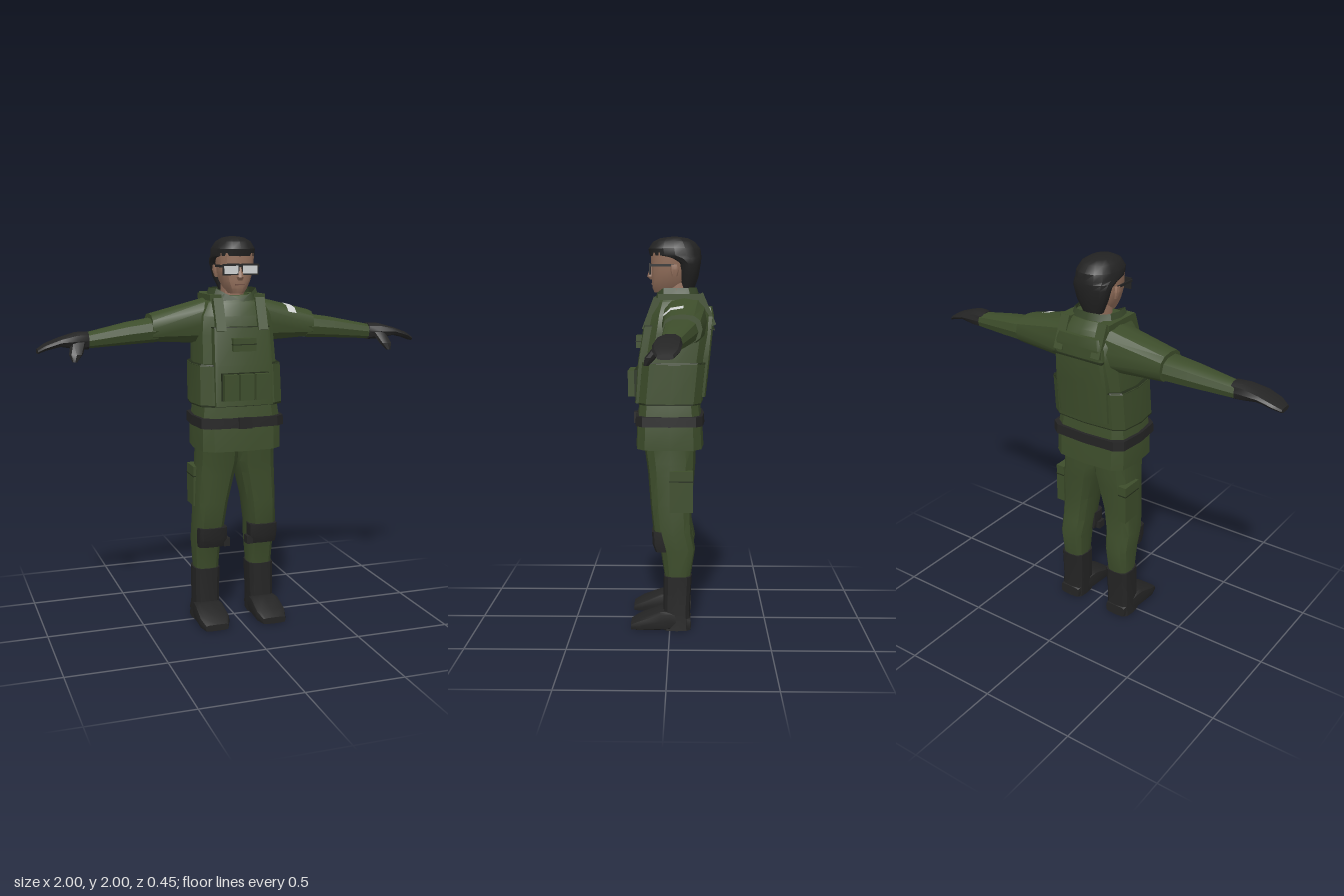
import * as THREE from 'three';
import { toCreasedNormals } from 'three/addons/utils/BufferGeometryUtils.js';

const paint = (name, color) => {
  const m = new THREE.MeshStandardMaterial({ color });
  m.name = name;
  return m;
};

// Lofts rounded-box rings along an axis. Ring: [position, aMin, aMax, bMin, bMax].
// (a, b) is (x, z) along y, (z, y) along x and (y, x) along z.
function loft(axis, rings, power = 3, n = 12, from = 0, to = 360) {
  const place = { y: (p, a, b) => [a, p, b], x: (p, a, b) => [p, b, a], z: (p, a, b) => [b, a, p] }[axis];
  const bend = v => Math.sign(v) * Math.abs(v) ** (2 / power);
  const rows = rings.map(([p, a0, a1, b0, b1]) => Array.from({ length: n + 1 }, (_, i) => {
    const t = THREE.MathUtils.degToRad(from + (to - from) * i / n);
    return place(p, (a0 + a1) / 2 + bend(Math.cos(t)) * (a1 - a0) / 2,
      (b0 + b1) / 2 + bend(Math.sin(t)) * (b1 - b0) / 2);
  }));
  const mids = rings.map(([p, a0, a1, b0, b1]) => place(p, (a0 + a1) / 2, (b0 + b1) / 2));
  const pos = [];
  const tri = (...c) => c.forEach(v => pos.push(...v));
  const last = rows.length - 1;
  for (let i = 0; i < n; i++) {
    for (let r = 0; r < last; r++) {
      tri(rows[r][i], rows[r + 1][i], rows[r][i + 1]);
      tri(rows[r][i + 1], rows[r + 1][i], rows[r + 1][i + 1]);
    }
    if (to - from === 360) {
      tri(mids[0], rows[0][i], rows[0][i + 1]);
      tri(mids[last], rows[last][i + 1], rows[last][i]);
    }
  }
  const g = new THREE.BufferGeometry();
  g.setAttribute('position', new THREE.Float32BufferAttribute(pos, 3));
  return g;
}

// Box given by its limits, optionally tilted about x
function box(x0, x1, y0, y1, z0, z1, tilt = 0) {
  const g = new THREE.BoxGeometry(x1 - x0, y1 - y0, z1 - z0).toNonIndexed();
  return g.rotateX(tilt).translate((x0 + x1) / 2, (y0 + y1) / 2, (z0 + z1) / 2);
}

// Mirrored copy across x = 0 with corners reordered
function mirror(geo) {
  const g = new THREE.BufferGeometry();
  const p = geo.attributes.position.clone();
  for (let i = 0; i < p.count; i++) {
    const s = i - i % 3 + [0, 2, 1][i % 3], o = geo.attributes.position;
    p.setXYZ(i, -o.getX(s), o.getY(s), o.getZ(s));
  }
  g.setAttribute('position', p);
  return g;
}

export function createModel() {
  const model = new THREE.Group();
  model.name = 'soldier';
  const green = paint('olive cloth', 0x3d4d2b);
  const dark = paint('dark seam', 0x252f1b);
  const black = paint('black leather', 0x242424);
  const hairBlack = paint('black hair', 0x222222);
  const skin = paint('skin', 0x94705c);
  const lip = paint('lips', 0x704f42);
  const white = paint('light grey', 0xd0d2d2);
  const collarGreen = paint('collar cloth', 0x38472a);
  collarGreen.side = THREE.DoubleSide;

  const add = (name, mat, geo) => {
    const mesh = new THREE.Mesh(toCreasedNormals(geo, 0.55), mat);
    mesh.name = name;
    model.add(mesh);
  };
  const pair = (name, mat, geo) => {
    add(name + 'Left', mat, geo);
    add(name + 'Right', mat, mirror(geo));
  };

  // Jacket, belt and vest
  add('jacketSkirt', green, loft('y', [
    [0.935, -0.222, 0.222, -0.172, 0.178], [1.06, -0.222, 0.222, -0.165, 0.172],
    [1.18, -0.205, 0.205, -0.15, 0.16]], 4));
  add('belt', black, loft('y', [
    [1.055, -0.232, 0.232, -0.176, 0.182], [1.105, -0.23, 0.23, -0.174, 0.18]], 5));
  add('buckle', black, box(-0.035, 0.035, 1.052, 1.108, 0.17, 0.189));
  add('vestHem', dark, loft('y', [
    [1.163, -0.231, 0.231, -0.165, 0.17], [1.172, -0.231, 0.231, -0.165, 0.17]], 4));
  add('vestWaist', green, loft('y', [
    [1.17, -0.232, 0.232, -0.168, 0.168], [1.37, -0.228, 0.228, -0.188, 0.15]], 4));
  add('vestSeam', dark, loft('y', [
    [1.366, -0.229, 0.229, -0.189, 0.151], [1.374, -0.222, 0.222, -0.189, 0.15]], 4));
  add('vestChest', green, loft('y', [
    [1.36, -0.212, 0.212, -0.19, 0.152], [1.52, -0.205, 0.205, -0.211, 0.125],
    [1.61, -0.195, 0.195, -0.215, 0.11], [1.675, -0.16, 0.16, -0.185, 0.085],
    [1.71, -0.12, 0.12, -0.15, 0.06]], 3.2));
  add('chestPanel', green, loft('y', [
    [1.168, -0.155, 0.155, 0.08, 0.178], [1.37, -0.155, 0.155, 0.08, 0.163],
    [1.555, -0.15, 0.15, 0.03, 0.134]], 9));
  add('chestPanelEdge', dark, loft('y', [
    [1.553, -0.151, 0.151, 0.03, 0.134], [1.559, -0.151, 0.151, 0.03, 0.133]], 9));
  add('backPanel', green, loft('y', [
    [1.2, -0.15, 0.15, -0.182, -0.06], [1.4, -0.155, 0.155, -0.204, -0.06],
    [1.6, -0.14, 0.14, -0.224, -0.06], [1.65, -0.12, 0.12, -0.214, -0.06]], 9));
  add('backYoke', dark, box(-0.145, 0.145, 1.535, 1.542, -0.225, -0.2));

  // Shoulder straps and chest pouches
  pair('frontStrap', green, box(0.085, 0.135, 1.53, 1.70, 0.075, 0.112, -0.36));
  pair('backStrap', green, box(0.085, 0.135, 1.55, 1.72, -0.2, -0.165, 0.4));
  pair('shoulderPad', green, box(0.085, 0.145, 1.685, 1.715, -0.16, 0.06));
  add('chestPouch', green, box(-0.06, 0.06, 1.44, 1.505, 0.12, 0.174));
  add('chestPouchFlap', dark, box(-0.061, 0.061, 1.472, 1.477, 0.13, 0.176));
  for (const x of [-0.083, 0, 0.083]) {
    add('magazinePouch', green, box(x - 0.036, x + 0.036, 1.2, 1.33, 0.14, 0.214));
    add('magazinePouchBacking', dark, box(x - 0.04, x + 0.04, 1.196, 1.334, 0.14, 0.181));
  }

  // Collar, open at the top and dipping toward the throat
  const collar = loft('y', [
    [1.665, -0.145, 0.145, -0.16, 0.085], [1.745, -0.118, 0.118, -0.135, 0.075]], 2.6, 12, 0, 359.9);
  const cp = collar.attributes.position;
  for (let i = 0; i < cp.count; i++) {
    if (cp.getY(i) > 1.7 && cp.getZ(i) > 0.04) cp.setY(i, 1.745 - 0.055 * (1 - Math.abs(cp.getX(i)) / 0.118));
  }
  add('collar', collarGreen, collar);

  // Head
  add('neck', skin, loft('y', [
    [1.62, -0.06, 0.06, -0.1, 0.03], [1.78, -0.058, 0.058, -0.1, 0.03]], 2.2, 10));
  add('face', skin, loft('y', [
    [1.72, -0.038, 0.038, -0.05, 0.082], [1.745, -0.055, 0.055, -0.07, 0.093],
    [1.78, -0.073, 0.073, -0.085, 0.096], [1.83, -0.09, 0.09, -0.09, 0.098],
    [1.92, -0.096, 0.096, -0.09, 0.1]], 2.5, 14));
  add('nose', skin, loft('y', [
    [1.786, -0.014, 0.014, 0.07, 0.104], [1.802, -0.019, 0.019, 0.07, 0.119],
    [1.855, -0.009, 0.009, 0.07, 0.102]], 2, 8));
  add('mouth', lip, box(-0.026, 0.026, 1.762, 1.768, 0.088, 0.097));
  pair('ear', skin, loft('y', [
    [1.8, 0.08, 0.096, -0.035, -0.01], [1.835, 0.085, 0.107, -0.045, 0],
    [1.86, 0.085, 0.104, -0.04, 0]], 2, 8));
  add('hair', hairBlack, loft('y', [
    [1.735, -0.055, 0.055, -0.12, -0.05], [1.80, -0.085, 0.085, -0.143, -0.042],
    [1.865, -0.102, 0.102, -0.154, -0.028], [1.89, -0.106, 0.106, -0.157, 0.03],
    [1.905, -0.107, 0.107, -0.157, 0.104], [1.94, -0.106, 0.106, -0.153, 0.112],
    [1.975, -0.085, 0.085, -0.125, 0.09], [1.993, -0.055, 0.055, -0.09, 0.055],
    [2, -0.025, 0.025, -0.05, 0.01]], 2.2, 16));

  // Glasses
  pair('glassesFrame', black, box(0.006, 0.093, 1.812, 1.868, 0.098, 0.105));
  pair('glassesLens', white, box(0.012, 0.086, 1.819, 1.858, 0.1, 0.107));
  pair('glassesTemple', black, box(0.091, 0.099, 1.85, 1.862, -0.02, 0.104));
  add('glassesBridge', black, box(-0.01, 0.01, 1.852, 1.866, 0.098, 0.108));

  // Arms
  pair('sleeve', green, loft('x', [
    [0.1, -0.19, 0.04, 1.46, 1.705], [0.43, -0.16, 0.03, 1.48, 1.622]], 2.5));
  pair('forearm', green, loft('x', [
    [0.4, -0.145, 0.028, 1.478, 1.605], [0.55, -0.12, 0.028, 1.472, 1.583],
    [0.77, -0.068, 0.03, 1.462, 1.538]], 2.5, 10));
  add('sleevePatch', white, loft('x', [
    [0.287, -0.178, 0.039, 1.467, 1.660], [0.333, -0.174, 0.038, 1.47, 1.648]], 2.5, 2, 30, 90));

  // Gloves
  pair('glove', black, loft('x', [
    [0.75, -0.066, 0.034, 1.458, 1.546], [0.81, -0.07, 0.05, 1.462, 1.545],
    [0.89, -0.068, 0.062, 1.478, 1.522], [0.96, -0.06, 0.058, 1.462, 1.496],
    [1, -0.035, 0.04, 1.447, 1.47]], 2.6, 10));
  pair('thumb', black, loft('y', [
    [1.41, 0.822, 0.845, 0.078, 0.1], [1.445, 0.79, 0.858, 0.045, 0.096],
    [1.5, 0.765, 0.84, 0, 0.05]], 2.2, 8));

  // Trousers
  pair('trouserLeg', green, loft('y', [
    [0.26, 0.084, 0.212, -0.105, 0.025], [0.42, 0.075, 0.22, -0.13, 0.05],
    [0.51, 0.065, 0.222, -0.112, 0.085], [0.65, 0.045, 0.215, -0.11, 0.1],
    [0.8, 0.01, 0.208, -0.125, 0.112], [0.86, -0.005, 0.204, -0.13, 0.12],
    [0.97, -0.01, 0.2, -0.132, 0.137]], 2.8));
  pair('cargoPocket', green, box(0.175, 0.222, 0.62, 0.83, -0.118, 0));
  pair('cargoPocketFlap', dark, box(0.175, 0.224, 0.775, 0.781, -0.12, 0.002));

  // Knee pads with inner clasps
  pair('kneePad', black, loft('y', [
    [0.41, 0.07, 0.212, 0, 0.075], [0.45, 0.06, 0.216, 0, 0.09],
    [0.515, 0.06, 0.216, 0, 0.094]], 4));
  pair('kneeClasp', black, box(0.047, 0.08, 0.41, 0.452, 0.03, 0.078));

  // Boots
  pair('bootShaft', black, loft('y', [
    [0, 0.085, 0.228, -0.11, 0.04], [0.1, 0.084, 0.22, -0.103, 0.034],
    [0.28, 0.078, 0.22, -0.113, 0.032]], 3.5));
  pair('bootFoot', black, loft('z', [
    [-0.108, 0, 0.06, 0.095, 0.215], [0, 0, 0.1, 0.082, 0.228],
    [0.05, 0, 0.1, 0.078, 0.233], [0.15, 0, 0.062, 0.075, 0.236],
    [0.2, 0, 0.034, 0.095, 0.22]], 5));

  return model;
}
